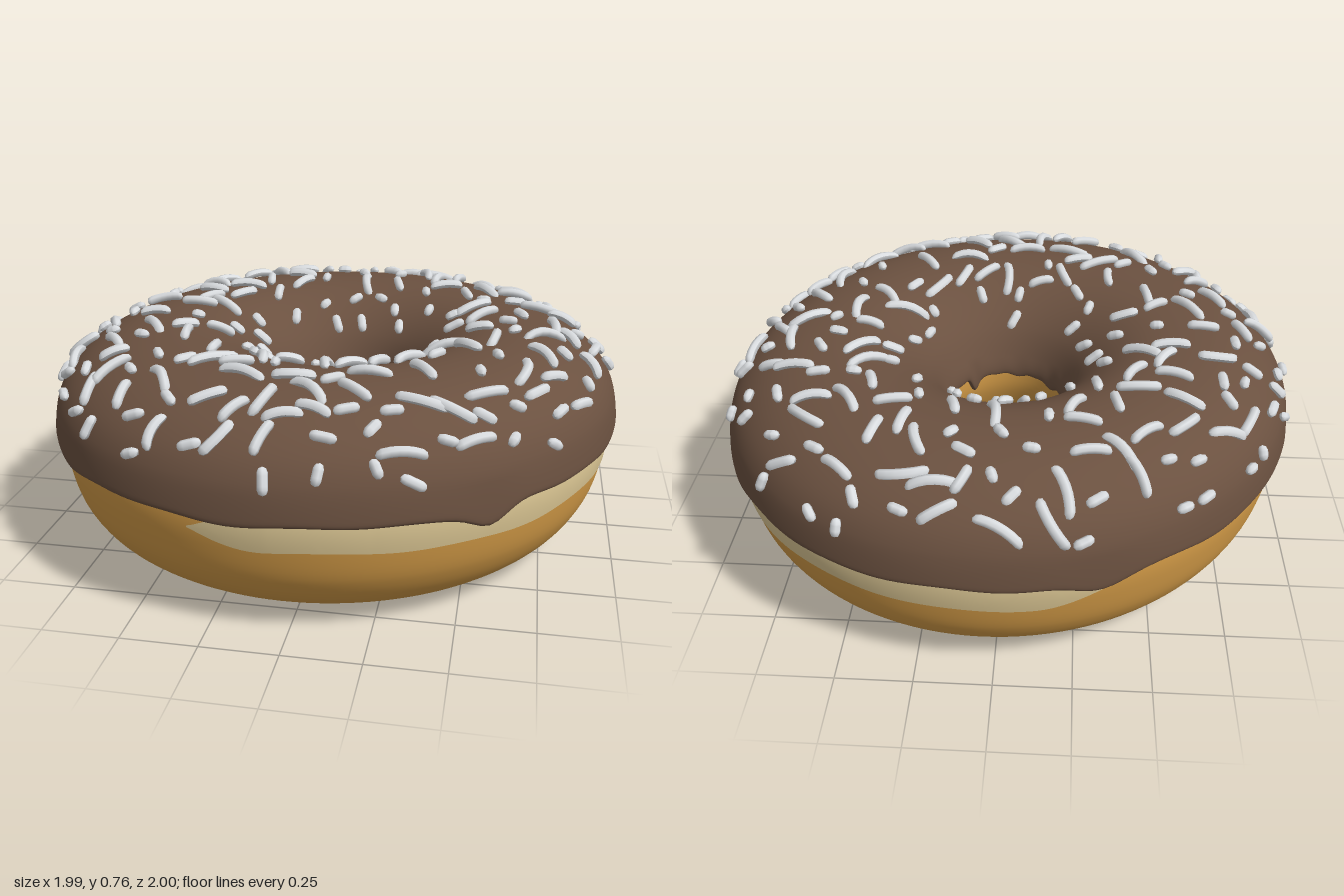
import * as THREE from 'three';
import { mergeGeometries } from 'three/addons/utils/BufferGeometryUtils.js';
import { ParametricGeometry } from 'three/addons/geometries/ParametricGeometry.js';

const TAU = Math.PI * 2;
const DEG = Math.PI / 180;
const { lerp, clamp, smoothstep } = THREE.MathUtils;

const spline = (pts) => new THREE.SplineCurve(pts.map(([r, y]) => new THREE.Vector2(r, y)));

// Cross-sections as [radius, height]
const icingProfile = spline([
  [0.945, 0.405], [0.988, 0.405], [0.993, 0.44], [0.975, 0.53], [0.93, 0.605], [0.85, 0.668], [0.74, 0.71],
  [0.6, 0.725], [0.47, 0.71], [0.36, 0.66], [0.27, 0.58], [0.215, 0.48], [0.203, 0.42], [0.23, 0.405],
]);
const doughProfile = spline([
  [0.235, 0.5], [0.222, 0.4], [0.235, 0.31], [0.29, 0.19], [0.38, 0.085], [0.5, 0.018], [0.61, 0],
  [0.76, 0.025], [0.865, 0.095], [0.93, 0.19], [0.96, 0.3], [0.967, 0.4], [0.945, 0.5],
]);

// Places a ring point: slightly oval outside, round off-centre hole inside
function place(azimuth, radius, y, target) {
  const k = clamp((radius - 0.2) / 0.78, 0, 1);
  const r = radius * (1 + 0.025 * k * Math.cos(2 * (azimuth - 135 * DEG)));
  return target.set(
    r * Math.sin(azimuth) + lerp(0.015, -0.003, k),
    y,
    r * Math.cos(azimuth) + lerp(-0.04, -0.018, k),
  );
}

// Wavy lower edge of the icing with a few drips: [angle, depth, width]
const drips = [[38, 0.048, 5], [199, 0.035, 6], [120, 0.016, 7], [313, 0.012, 9], [265, 0.012, 8]];
function edgeDrop(azimuth) {
  let d = 0.004 * Math.sin(9 * azimuth) + 0.003 * Math.sin(17 * azimuth + 1);
  for (const [angle, depth, width] of drips) {
    const diff = ((azimuth / DEG - angle + 540) % 360) - 180;
    d -= depth * Math.exp(-((diff / width) ** 2));
  }
  return d;
}

function icingPoint(azimuth, v, target) {
  const p = icingProfile.getPoint(v);
  const w = clamp((0.5 - p.y) / 0.09, 0, 1);
  return place(azimuth, p.x, p.y + edgeDrop(azimuth) * w, target);
}

function doughPoint(azimuth, v, target) {
  const p = doughProfile.getPoint(v);
  return place(azimuth, p.x, p.y, target);
}

// Outer radius of the dough at a given height
const outerSide = doughProfile.getPoints(240).slice(160);
function doughRadius(y) {
  const i = outerSide.findIndex((p) => p.y >= y);
  const a = outerSide[i - 1], b = outerSide[i];
  return lerp(a.x, b.x, (y - a.y) / (b.y - a.y));
}

// Thin pale patch hugging the dough side, tapered at both ends
function paleStrip(from, to, bottom, top, taper) {
  return new ParametricGeometry((u, v, target) => {
    const az = lerp(from, to, u) * DEG;
    const end = Math.min(u, 1 - u) * (to - from) / taper;
    const e = Math.max(0.04, Math.sqrt(smoothstep(end, 0, 1)));
    const wave = 0.006 * Math.sin(5 * az + 1) + 0.003 * Math.sin(13 * az);
    const mid = lerp(bottom, top, 0.45);
    const y = lerp(lerp(mid, bottom + wave, e), lerp(mid, top, e), v);
    place(az, doughRadius(y) + 0.004, y, target);
  }, Math.max(16, Math.round((to - from) * 0.8)), 6);
}

function seeded(seed) {
  return () => {
    seed = (seed * 1664525 + 1013904223) % 4294967296;
    return seed / 4294967296;
  };
}

// One rounded sprinkle, arched so that its ends dip toward the icing
function sprinkle(length, bend, sideBend) {
  const g = new THREE.CapsuleGeometry(0.0165, length - 0.033, 2, 7, 5);
  const pos = g.attributes.position;
  for (let i = 0; i < pos.count; i++) {
    const y2 = pos.getY(i) ** 2;
    pos.setX(i, pos.getX(i) + sideBend * y2);
    pos.setZ(i, pos.getZ(i) - bend * y2);
  }
  g.computeVertexNormals();
  return g;
}

// Scatters sprinkles evenly over the icing, keeping them apart
function scatterSprinkles(count) {
  const rand = seeded(77);
  const placed = [], parts = [];
  const du = new THREE.Vector3(), dv = new THREE.Vector3();
  for (let tries = 0; tries < 8000 && placed.length < count; tries++) {
    const az = rand() * TAU;
    const v = rand() < 0.04 ? lerp(0.23, 0.3, rand()) : lerp(0.3, 0.75, rand());
    const p = icingPoint(az, v, new THREE.Vector3());
    if (rand() > Math.hypot(p.x, p.z)) continue;
    if (placed.some((q) => q.distanceTo(p) < 0.085)) continue;
    placed.push(p);

    icingPoint(az + 0.01, v, du).sub(p).normalize();
    icingPoint(az, v + 0.01, dv).sub(p).normalize();
    const normal = du.clone().cross(dv).normalize();
    const turn = rand() * TAU;
    const dir = du.clone().multiplyScalar(Math.cos(turn)).addScaledVector(dv, Math.sin(turn));
    dir.addScaledVector(normal, -dir.dot(normal)).normalize();
    const side = dir.clone().cross(normal);

    const short = v < 0.3 || v > 0.66 || rand() < 0.4;
    const length = short ? lerp(0.05, 0.085, rand()) : lerp(0.1, 0.175, rand());
    const g = sprinkle(length, short ? 1 : lerp(1.5, 4, rand()), short ? 0 : lerp(-2.5, 2.5, rand()));
    g.applyMatrix4(new THREE.Matrix4().makeBasis(side, dir, normal));
    const lift = short ? 0.01 : 0.018;
    g.translate(p.x + normal.x * lift, p.y + normal.y * lift, p.z + normal.z * lift);
    parts.push(g);
  }
  return mergeGeometries(parts);
}

export function createModel() {
  const material = (name, color, side = THREE.FrontSide) => {
    const m = new THREE.MeshStandardMaterial({ color, side });
    m.name = name;
    return m;
  };
  const golden = material('golden dough', 0xd39b47);
  const pale = material('pale dough', 0xdcc794, THREE.DoubleSide);
  const chocolate = material('chocolate icing', 0x6b5140);
  const white = material('white sprinkles', 0xd9dcdf);

  const model = new THREE.Group();
  model.name = 'doughnut';
  const add = (name, geometry, mat) => {
    const mesh = new THREE.Mesh(geometry, mat);
    mesh.name = name;
    model.add(mesh);
  };

  // Ring of dough, open only where the icing covers it
  add('dough', new ParametricGeometry((u, v, t) => doughPoint(u * TAU, v, t), 128, 56), golden);

  // Unbaked pale band under the icing, with two small leftover patches
  add('paleBand', paleStrip(-17, 202, 0.308, 0.43, 14), pale);
  add('palePatch', paleStrip(251, 276, 0.345, 0.425, 12), pale);
  add('paleSpot', paleStrip(288, 294, 0.345, 0.37, 3), pale);

  // Icing cap with a wavy, dripping rim
  add('icing', new ParametricGeometry((u, v, t) => icingPoint(u * TAU, v, t), 200, 64), chocolate);

  add('sprinkles', scatterSprinkles(205), white);
  return model;
}
